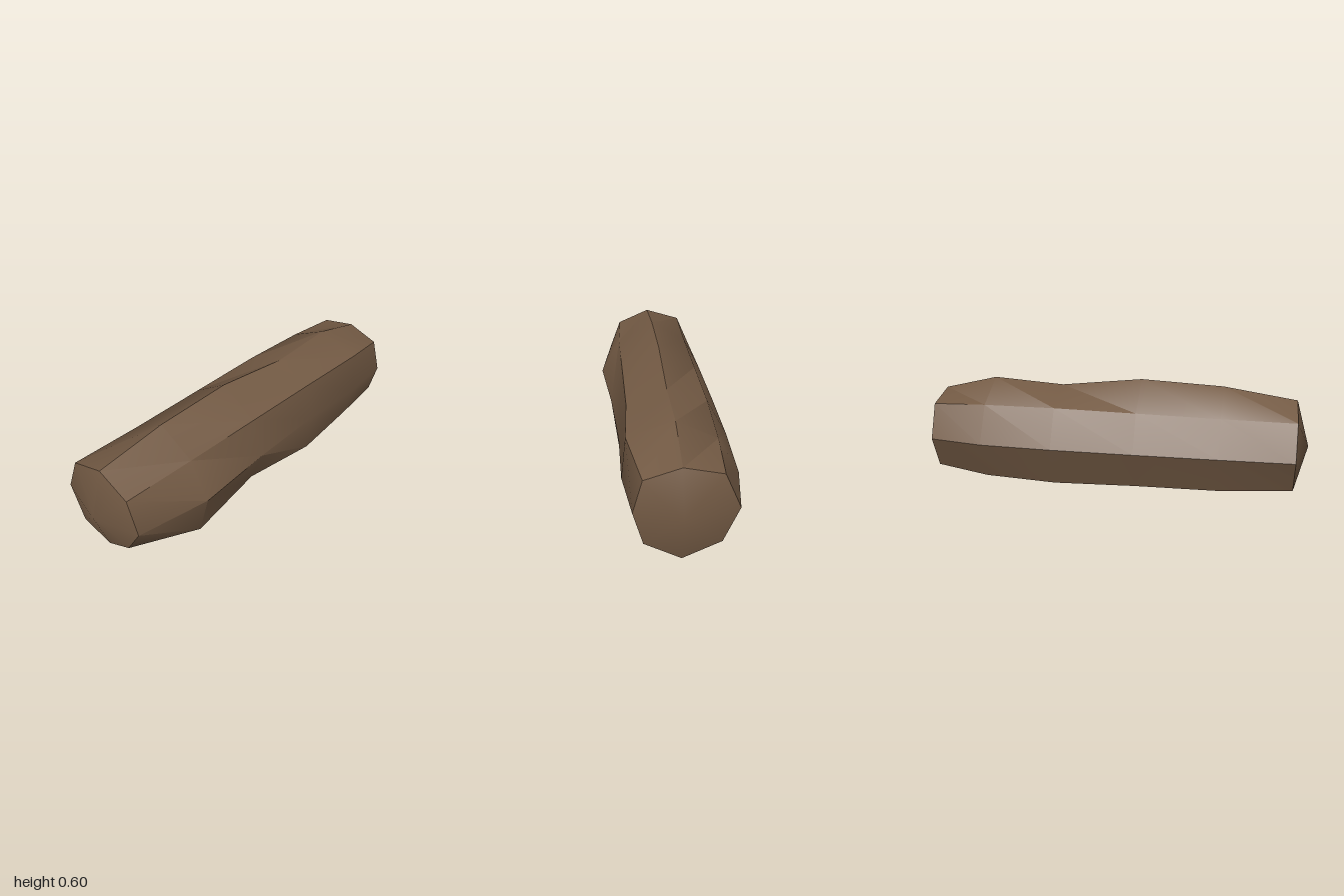
import * as THREE from 'three';
import { toCreasedNormals } from 'three/addons/utils/BufferGeometryUtils.js';

const AXIS_Y = 0.29;
const SIDES = 8;

// Directions round the log: top, top front, front, and on round to top back (as [y, z])
const DIRS = [[1, 0], [1, 1.05], [0, 1], [-1, 1.05], [-1, 0], [-1, -1.05], [0, -1], [1, -1.05]];

// Cross-sections along the log: x, then the offset in each direction
const SECTIONS = [
  [-0.93, [0.24, 0.165, 0.235, 0.14, 0.21, 0.175, 0.265, 0.18]],
  [-0.56, [0.293, 0.185, 0.297, 0.225, 0.275, 0.195, 0.28, 0.18]],
  [-0.14, [0.31, 0.187, 0.26, 0.18, 0.225, 0.2, 0.292, 0.185]],
  [0.28, [0.26, 0.19, 0.24, 0.208, 0.29, 0.21, 0.3, 0.19]],
  [0.65, [0.282, 0.212, 0.245, 0.183, 0.245, 0.2, 0.295, 0.185]],
  [0.93, [0.212, 0.16, 0.213, 0.16, 0.25, 0.17, 0.253, 0.172]],
];

// Rough octagonal trunk with a shallow point on each end
function logGeometry() {
  const positions = [];
  const index = [];
  for (const [x, offsets] of SECTIONS) {
    offsets.forEach((r, j) => positions.push(x, AXIS_Y + r * DIRS[j][0], r * DIRS[j][1]));
  }
  const leftTip = positions.length / 3;
  positions.push(1, AXIS_Y, 0, -1, AXIS_Y, 0);
  const rightTip = leftTip + 1;
  const last = (SECTIONS.length - 1) * SIDES;

  for (let j = 0; j < SIDES; j++) {
    const k = (j + 1) % SIDES;
    for (let row = 0; row < last; row += SIDES) {
      const a = row + j, b = row + k, c = b + SIDES, d = a + SIDES;
      index.push(a, b, c, a, c, d);
    }
    // End cones
    index.push(leftTip, last + j, last + k);
    index.push(rightTip, k, j);
  }

  const geometry = new THREE.BufferGeometry();
  geometry.setAttribute('position', new THREE.Float32BufferAttribute(positions, 3));
  geometry.setIndex(index);
  return toCreasedNormals(geometry, THREE.MathUtils.degToRad(37));
}

export function createModel() {
  const bark = new THREE.MeshStandardMaterial({ color: 0x735a44 });
  bark.name = 'bark';

  const group = new THREE.Group();
  group.name = 'log';
  const trunk = new THREE.Mesh(logGeometry(), bark);
  trunk.name = 'trunk';
  group.add(trunk);
  return group;
}
